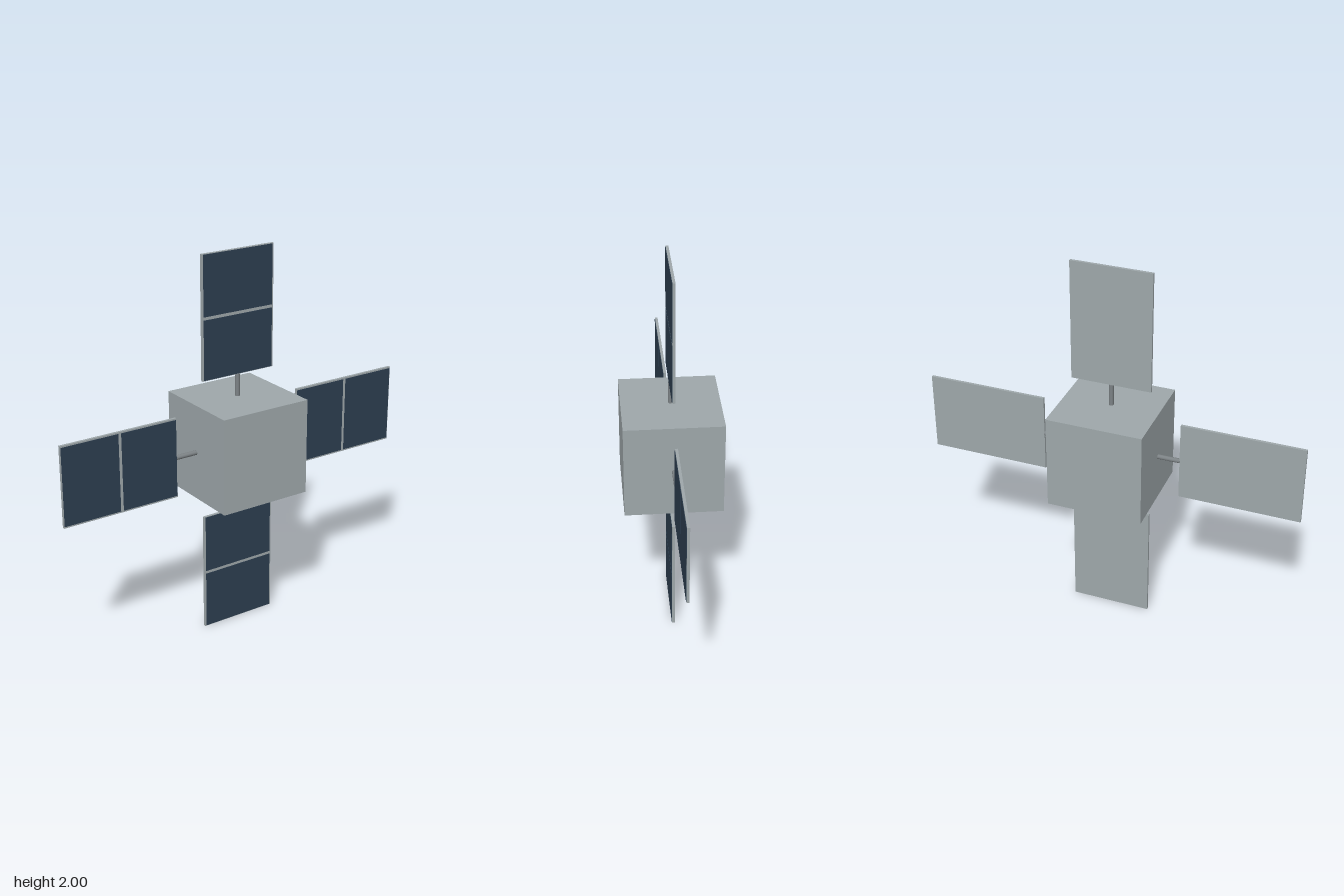
import * as THREE from 'three';

export function createModel() {
  const model = new THREE.Group();
  model.name = 'satellite';

  const material = (name, color) => {
    const m = new THREE.MeshStandardMaterial({ color });
    m.name = name;
    return m;
  };
  const hull = material('hull grey', 0x9ea7aa);
  const metal = material('strut grey', 0x7c8285);
  const solar = material('solar blue', 0x2c3e50);

  const add = (parent, name, geometry, mat, x = 0, y = 0, z = 0) => {
    const mesh = new THREE.Mesh(geometry, mat);
    mesh.name = name;
    mesh.position.set(x, y, z);
    parent.add(mesh);
    return mesh;
  };

  // Central cube
  add(model, 'body', new THREE.BoxGeometry(0.5, 0.5, 0.5), hull, 0, 1, 0);

  const inner = 0.366, outer = 1, length = outer - inner, middle = (inner + outer) / 2;
  const strutGeometry = new THREE.CylinderGeometry(0.012, 0.012, inner - 0.24, 12);
  const panelGeometry = new THREE.BoxGeometry(0.42, length, 0.014);
  const cellGeometry = new THREE.BoxGeometry(0.404, 0.306, 0.003);

  // Four identical wings, each built pointing up and turned about the body centre
  ['top', 'left', 'bottom', 'right'].forEach((side, i) => {
    const wing = new THREE.Group();
    wing.name = side + 'Wing';
    wing.position.y = 1;
    wing.rotation.z = -i * Math.PI / 2;
    add(wing, 'strut', strutGeometry, metal, 0, (inner + 0.24) / 2, 0);
    add(wing, 'panel', panelGeometry, hull, 0, middle, 0);
    // Two solar cells on the front face, with a bare strip between them
    for (const s of [-1, 1]) {
      add(wing, 'solarCell', cellGeometry, solar, 0, middle + s * 0.161, 0.0075);
    }
    model.add(wing);
  });

  return model;
}
